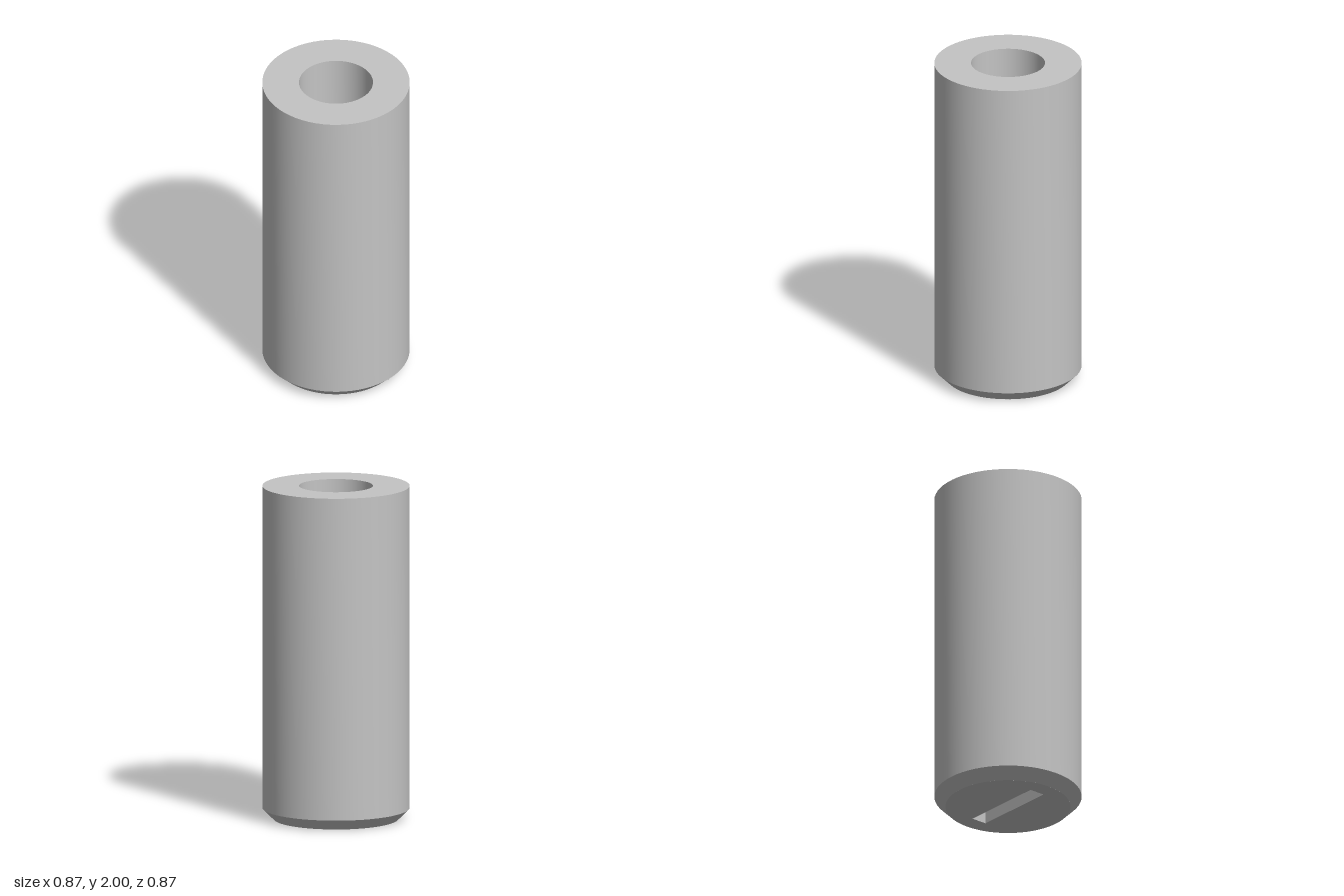
import * as THREE from 'three';
import { toCreasedNormals } from 'three/addons/utils/BufferGeometryUtils.js';

const SEG = 64;
const R = 0.436, R_BASE = 0.37, R_BORE = 0.219;
const HEIGHT = 2, CHAMFER = 0.065, FLOOR = 0.15;
const SLOT_X = 0.05, SLOT_Z = 0.265;

export function createModel() {
  const group = new THREE.Group();
  const steel = new THREE.MeshStandardMaterial({ color: 0xc4c4c4 });
  steel.name = 'plain steel';

  const add = (name, geometry) => {
    const mesh = new THREE.Mesh(geometry, steel);
    mesh.name = name;
    group.add(mesh);
    return mesh;
  };

  // Chamfered outer wall, flat top rim and inner bore in one profile
  const profile = [
    [R_BASE, 0], [R, CHAMFER], [R, HEIGHT], [R_BORE, HEIGHT], [R_BORE, FLOOR],
  ].map(([r, y]) => new THREE.Vector2(r, y));
  add('sleeve', toCreasedNormals(new THREE.LatheGeometry(profile, SEG), Math.PI / 6));

  // Floor of the bore, pierced by a straight slot running front to back
  const disc = new THREE.Shape().absarc(0, 0, R_BASE, 0, Math.PI * 2, false);
  const slot = new THREE.Path();
  slot.moveTo(-SLOT_X, -SLOT_Z);
  slot.lineTo(-SLOT_X, SLOT_Z);
  slot.lineTo(SLOT_X, SLOT_Z);
  slot.lineTo(SLOT_X, -SLOT_Z);
  slot.closePath();
  disc.holes.push(slot);
  const base = new THREE.ExtrudeGeometry(disc, {
    depth: FLOOR, bevelEnabled: false, curveSegments: SEG,
  });
  add('slottedBase', base.rotateX(-Math.PI / 2));

  // Underside of the sleeve, closing the slot ends that reach past the bore
  const ceiling = new THREE.RingGeometry(R_BORE, R_BASE, SEG);
  add('slotCeiling', ceiling.rotateX(Math.PI / 2)).position.y = FLOOR;

  return group;
}
